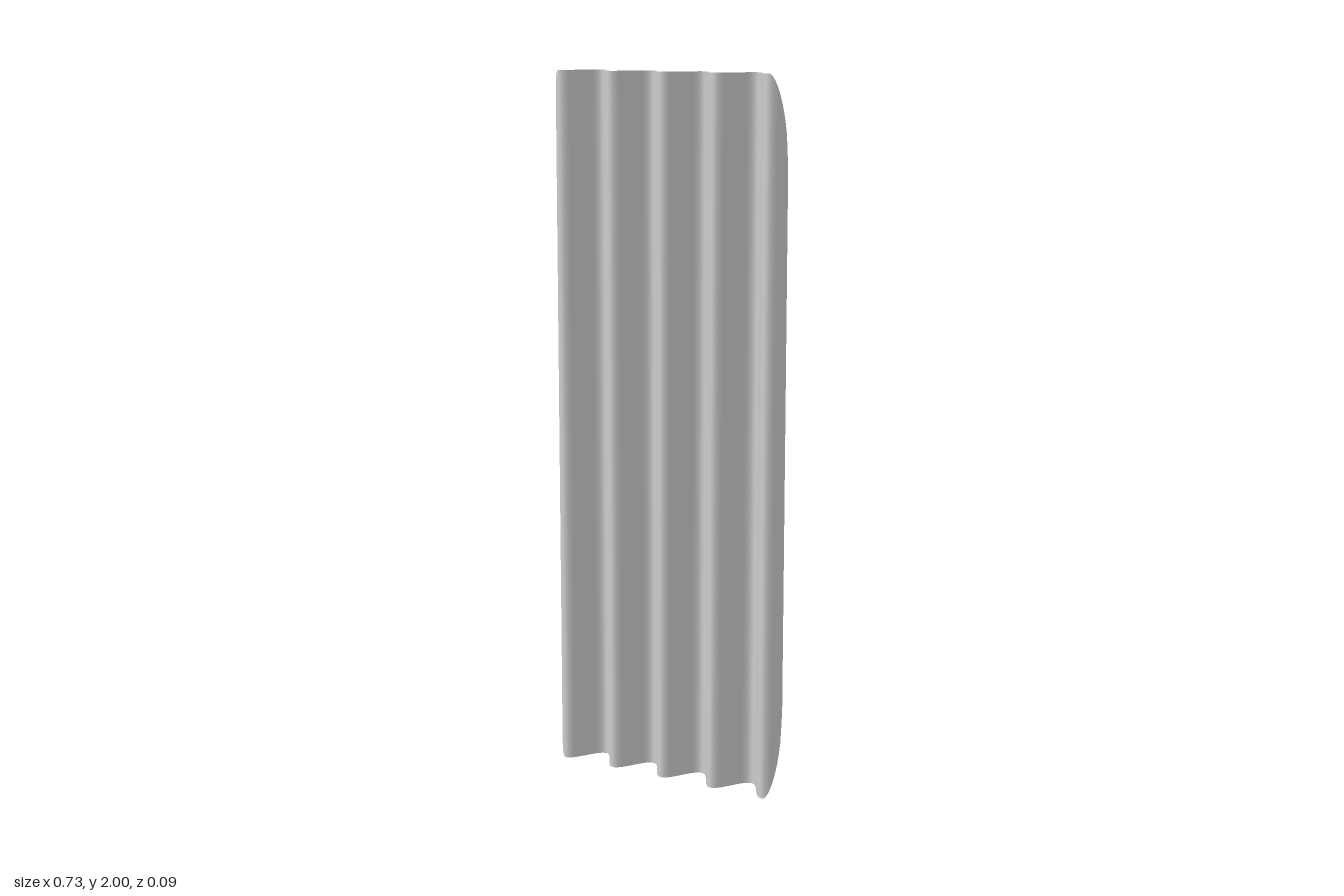
import * as THREE from 'three';

const HALF_WIDTH = 0.366, AMPLITUDE = 0.045, PITCH = 0.163;
const CORNER_X = 0.036, CORNER_Y = 0.25;

// Half height of the sheet at x: straight edge with elliptical corners
function halfHeight(x) {
  const t = Math.min(1, Math.max(0, (Math.abs(x) - (HALF_WIDTH - CORNER_X)) / CORNER_X));
  return 1 - CORNER_Y * (1 - Math.sqrt(1 - t * t));
}

export function createModel() {
  const group = new THREE.Group();
  group.name = 'corrugatedPanel';

  // Flat sheet bent into five even ridges, trimmed at the corners
  const geometry = new THREE.PlaneGeometry(HALF_WIDTH * 2, 2, 300, 4);
  const pos = geometry.attributes.position;
  for (let i = 0; i < pos.count; i++) {
    const x = pos.getX(i);
    pos.setY(i, 1 + pos.getY(i) * halfHeight(x));
    pos.setZ(i, AMPLITUDE * Math.cos((2 * Math.PI * x) / PITCH));
  }
  geometry.computeVertexNormals();

  const sheet = new THREE.Mesh(
    geometry,
    new THREE.MeshStandardMaterial({ color: 0xcccccc, side: THREE.DoubleSide })
  );
  sheet.name = 'corrugatedSheet';
  group.add(sheet);
  return group;
}
